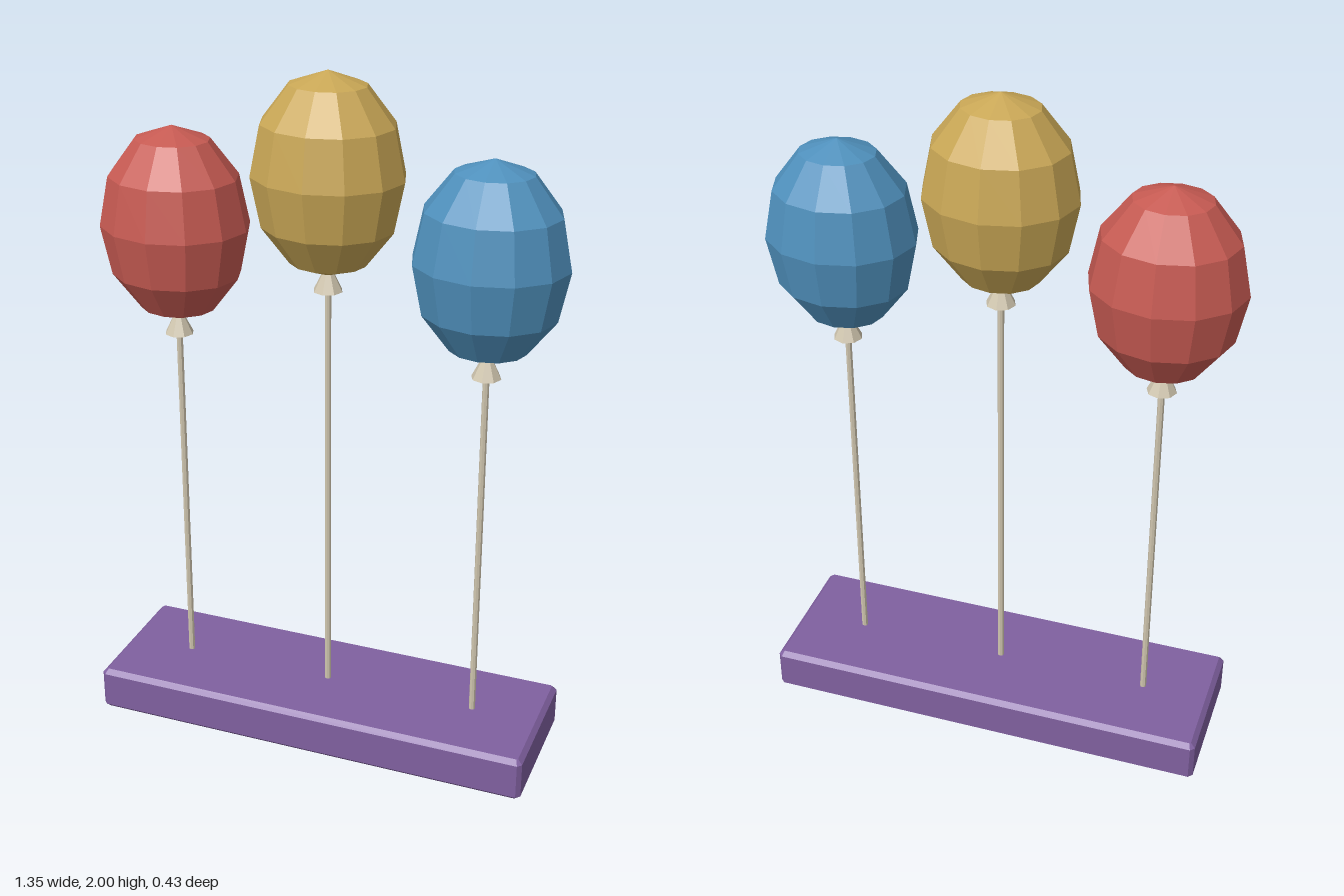
import * as THREE from 'three';

const flat = (name, color) => {
  const m = new THREE.MeshStandardMaterial({ color, flatShading: true });
  m.name = name;
  return m;
};

export function createModel() {
  const model = new THREE.Group();
  model.name = 'balloonStand';
  const red = flat('red', 0xc65a52);
  const yellow = flat('yellow', 0xc8a655);
  const blue = flat('blue', 0x4f90bc);
  const purple = flat('purple', 0x8060a0);
  const cream = flat('cream', 0xcfc5ae);

  const add = (parent, name, geometry, material, y) => {
    const mesh = new THREE.Mesh(geometry, material);
    mesh.name = name;
    mesh.position.y = y;
    parent.add(mesh);
  };

  // Base: slab with every edge chamfered
  const X = 0.665, Z = 0.213, H = 0.136, B = 0.014;
  const x = X - B, z = Z - B, c = 0.004;
  const outline = new THREE.Shape([
    [x, c - z], [x, z - c], [x - c, z], [c - x, z],
    [-x, z - c], [-x, c - z], [c - x, -z], [x - c, -z],
  ].map(([a, b]) => new THREE.Vector2(a, b)));
  const slab = new THREE.ExtrudeGeometry(outline, {
    depth: H - 2 * B, bevelEnabled: true, bevelSize: B, bevelThickness: B, bevelSegments: 1,
  });
  slab.rotateX(-Math.PI / 2);
  add(model, 'base', slab, purple, B);

  // Balloons: low-poly ellipsoid, flared knot and stick
  const body = new THREE.SphereGeometry(1, 12, 6).scale(0.216, 0.282, 0.188);
  const knot = new THREE.ConeGeometry(0.042, 0.085, 8);
  const balloons = [
    ['right', -0.457, 1.529, red],
    ['middle', 0, 1.718, yellow],
    ['left', 0.457, 1.529, blue],
  ];
  for (const [side, px, cy, material] of balloons) {
    const group = new THREE.Group();
    group.name = side + 'Balloon';
    group.position.x = px;
    add(group, side + 'BalloonBody', body, material, cy);
    add(group, side + 'Knot', knot, cream, cy - 0.326 + 0.0425);
    const bottom = 0.12, top = cy - 0.29;
    const stick = new THREE.CylinderGeometry(0.0095, 0.0095, top - bottom, 8);
    add(group, side + 'Stick', stick, cream, (top + bottom) / 2);
    model.add(group);
  }
  return model;
}
